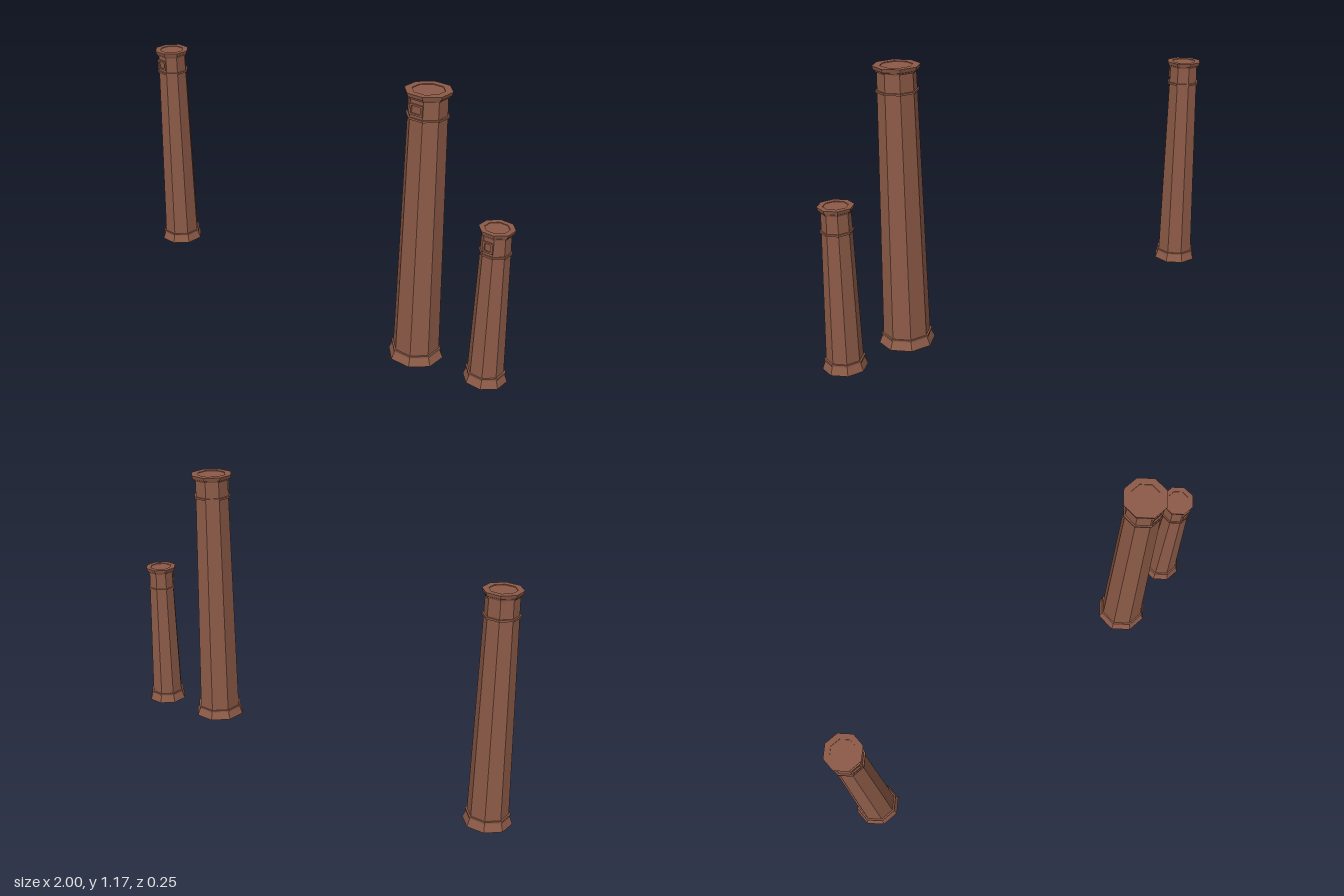
import * as THREE from 'three';

const brick = new THREE.MeshStandardMaterial({ color: 0x8c5a47 });
brick.name = 'brick';

// Octagonal solid of revolution; radii are measured to the middle of the flats
function octagon(name, profile) {
  const points = profile.map(([r, y]) => new THREE.Vector2(r / Math.cos(Math.PI / 8), y));
  const geometry = new THREE.LatheGeometry(points, 8, Math.PI / 8).toNonIndexed();
  geometry.computeVertexNormals();
  const mesh = new THREE.Mesh(geometry, brick);
  mesh.name = name;
  return mesh;
}

function box(name, w, h, d, x, y, z) {
  const mesh = new THREE.Mesh(new THREE.BoxGeometry(w, h, d), brick);
  mesh.name = name;
  mesh.position.set(x, y, z);
  return mesh;
}

function chimney({ name, x, z, height: h, base, foot, neck, collar, cap }) {
  const group = new THREE.Group();
  group.name = name;
  group.position.set(x, 0, z);
  const rim = (neck + cap) / 2;

  // Flared base and the thin band above it
  group.add(octagon('base', [[0, 0], [base, 0], [foot + 0.003, 0.035], [0, 0.035]]));
  group.add(octagon('baseBand', [
    [foot - 0.01, 0.035], [foot + 0.007, 0.035], [foot + 0.007, 0.043], [foot - 0.01, 0.043],
  ]));

  // Tapering shaft and the collar below the cap
  group.add(octagon('shaft', [[foot, 0.035], [neck, h - 0.022]]));
  const cy = h - 0.1;
  group.add(octagon('collar', [
    [neck - 0.01, cy - 0.004], [collar, cy - 0.004], [collar, cy + 0.004], [neck - 0.01, cy + 0.004],
  ]));

  // Flared cap with a shallow sunken top
  group.add(octagon('cap', [
    [neck - 0.01, h - 0.024], [rim - 0.003, h - 0.024], [rim, h - 0.017], [cap - 0.004, h - 0.015],
    [cap, h], [cap * 0.68, h], [cap * 0.68, h - 0.003], [0, h - 0.003],
  ]));

  // Raised frame on the front face
  const frame = new THREE.Group();
  frame.name = 'frontFrame';
  const w = neck * 0.86;
  const front = neck + 0.004;
  const py = h - 0.062;
  for (const side of [-1, 1]) {
    frame.add(box('frameUpright', 0.009, 0.044, 0.007, side * (w / 2 - 0.0045), py, front));
    frame.add(box('frameRail', w - 0.018, 0.007, 0.007, 0, py + side * 0.0185, front));
  }
  group.add(frame);
  return group;
}

export function createModel() {
  const model = new THREE.Group();
  model.name = 'chimneys';
  const sizes = [
    { name: 'rightChimney', x: -0.908, z: -0.033, height: 0.98, base: 0.092, foot: 0.077, neck: 0.06, collar: 0.068, cap: 0.073 },
    { name: 'tallChimney', x: 0.603, z: 0.015, height: 1.168, base: 0.107, foot: 0.09, neck: 0.071, collar: 0.079, cap: 0.087 },
    { name: 'shortChimney', x: 0.917, z: -0.03, height: 0.68, base: 0.083, foot: 0.068, neck: 0.053, collar: 0.06, cap: 0.066 },
  ];
  for (const size of sizes) model.add(chimney(size));
  return model;
}
